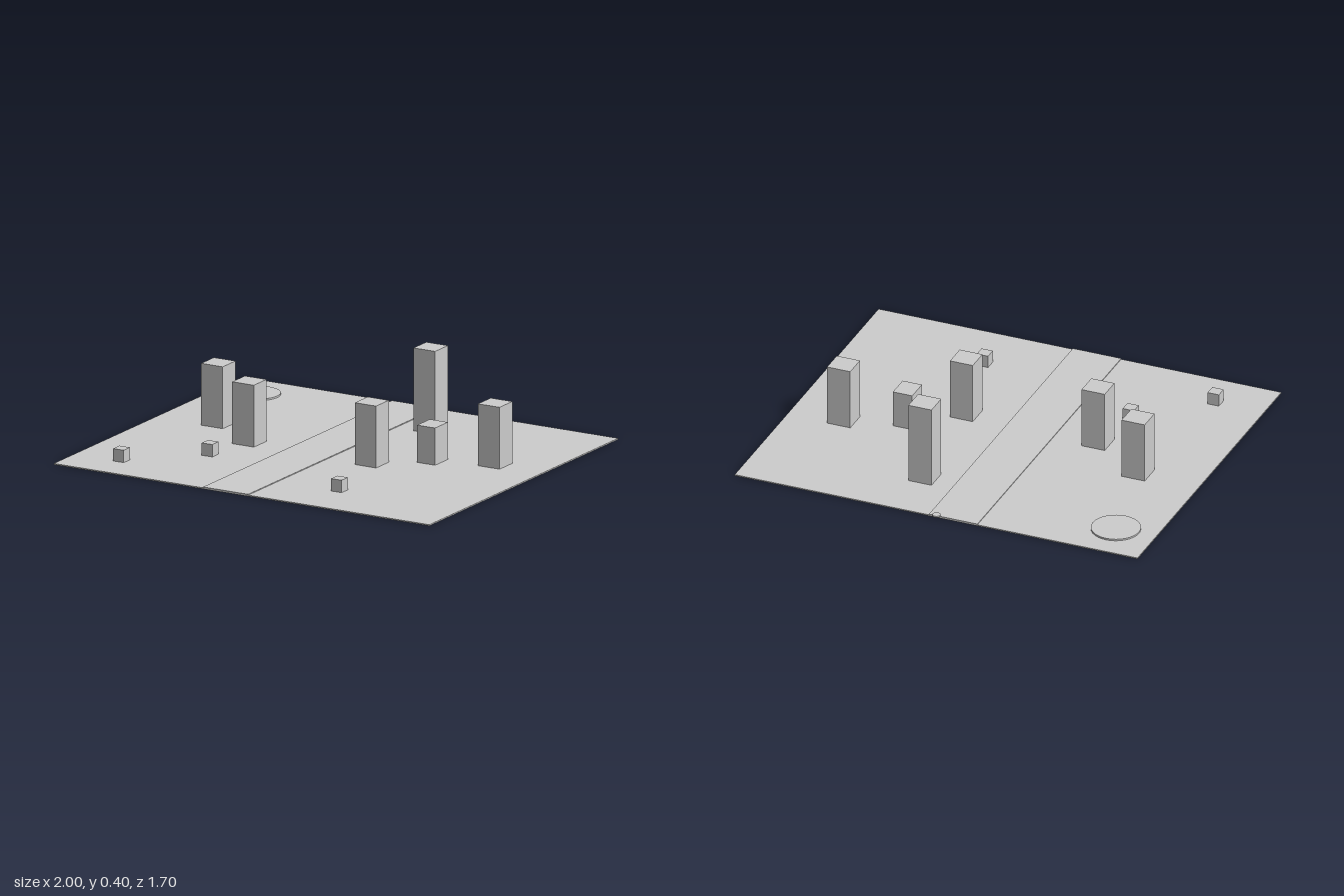
import * as THREE from 'three';

const material = new THREE.MeshStandardMaterial({ color: 0xcccccc });
const GROUND_TOP = 0.006;

export function createModel() {
  const group = new THREE.Group();

  const add = (name, geometry, x, y, z) => {
    const mesh = new THREE.Mesh(geometry, material);
    mesh.name = name;
    mesh.position.set(x, y, z);
    group.add(mesh);
  };
  // Box standing on height `base` and reaching up to height `top`
  const block = (name, x, z, width, depth, top, base = GROUND_TOP) =>
    add(name, new THREE.BoxGeometry(width, top - base, depth), x, (top + base) / 2, z);
  // Flat upright disc between two heights
  const disc = (name, x, z, radius, top, base, sides) =>
    add(name, new THREE.CylinderGeometry(radius, radius, top - base, sides), x, (top + base) / 2, z);

  // Ground slab and the raised road running front to back
  block('ground', 0, 0.0075, 2, 1.685, GROUND_TOP, 0);
  block('road', -0.085, 0.0075, 0.24, 1.685, 0.01);

  // Buildings: x, z, width, height
  const buildings = [
    [0.19, -0.519, 0.115, 0.4],
    [-0.692, -0.102, 0.115, 0.3],
    [-0.412, 0.09, 0.115, 0.3],
    [0.248, 0.103, 0.113, 0.3],
    [0.465, -0.074, 0.096, 0.183],
    [0.742, -0.169, 0.115, 0.3],
  ];
  for (const [x, z, width, height] of buildings) {
    block('building', x, z, width, 0.114, height);
  }

  // Small crates near the front: x, z
  for (const [x, z] of [[-0.461, 0.358], [0.353, 0.568], [-0.76, 0.647]]) {
    block('crate', x, z, 0.056, 0.056, 0.065);
  }

  // Round pool in the back corner and a small marker at the back edge
  disc('pool', -0.802, -0.62, 0.115, 0.014, GROUND_TOP, 32);
  disc('marker', 0, -0.831, 0.019, 0.014, 0.007, 16);

  return group;
}
